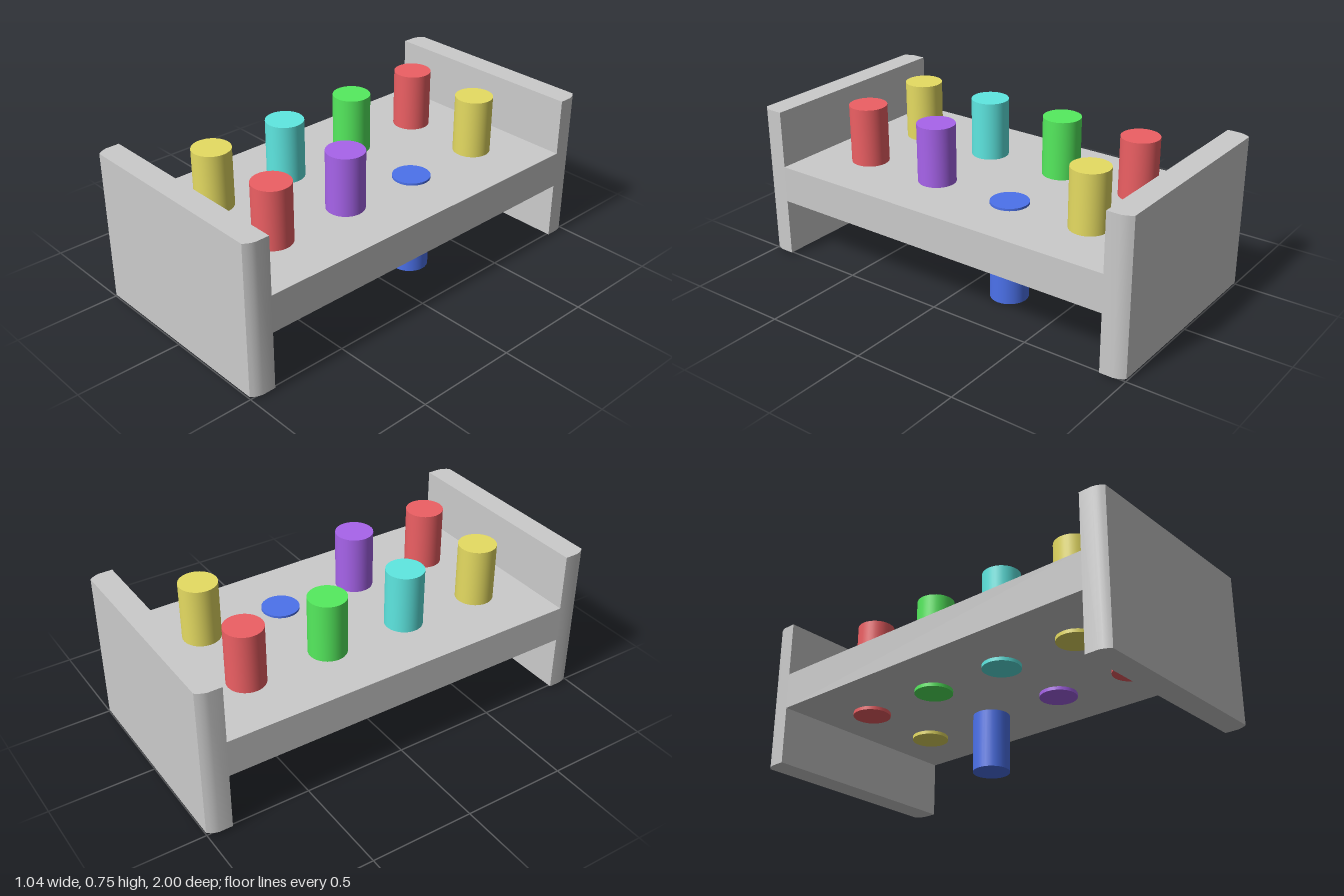
import * as THREE from 'three';
import { toCreasedNormals } from 'three/addons/utils/BufferGeometryUtils.js';

const HALF_W = 0.52, INNER_Z = 0.886;

export function createModel() {
  const group = new THREE.Group();
  const grey = new THREE.MeshStandardMaterial({ color: 0xcccccc });
  const add = (name, geometry, material, x, y, z) => {
    const mesh = new THREE.Mesh(geometry, material);
    mesh.name = name;
    mesh.position.set(x, y, z);
    group.add(mesh);
    return mesh;
  };

  // Peg board spanning between the two end panels
  add('board', new THREE.BoxGeometry(HALF_W * 2, 0.178, INNER_Z * 2), grey, 0, 0.378, 0);

  // End panel: plan outline with softened outer corners, extruded upwards
  const plan = new THREE.Shape();
  plan.moveTo(-HALF_W, -INNER_Z);
  plan.lineTo(-HALF_W, -0.95);
  plan.quadraticCurveTo(-HALF_W + 0.006, -0.98, -HALF_W + 0.025, -1);
  plan.lineTo(HALF_W - 0.025, -1);
  plan.quadraticCurveTo(HALF_W - 0.006, -0.98, HALF_W, -0.95);
  plan.lineTo(HALF_W, -INNER_Z);
  plan.closePath();
  const extruded = new THREE.ExtrudeGeometry(plan, { depth: 0.732, bevelEnabled: false, curveSegments: 3 });
  extruded.rotateX(-Math.PI / 2);
  const panel = toCreasedNormals(extruded, 0.9);
  add('frontPanel', panel, grey, 0, 0.01, 0);
  add('backPanel', panel, grey, 0, 0.01, 0).rotation.y = Math.PI;

  // Pegs in two rows of four; the blue one is hammered through
  const peg = new THREE.CylinderGeometry(0.09, 0.09, 0.478, 32);
  const red = 0xee6064, yellow = 0xe6dc62, green = 0x55ec5e;
  const cyan = 0x5ee8e2, blue = 0x4c72ec, purple = 0xa864ec;
  const rows = [
    [-0.62, red, yellow],
    [-0.207, green, blue],
    [0.207, cyan, purple],
    [0.62, yellow, red],
  ];
  for (const [z, ...colors] of rows) {
    colors.forEach((color, i) => {
      const y = color === blue ? 0.239 : 0.511;
      add('peg', peg, new THREE.MeshStandardMaterial({ color }), i ? 0.205 : -0.205, y, z);
    });
  }
  return group;
}
